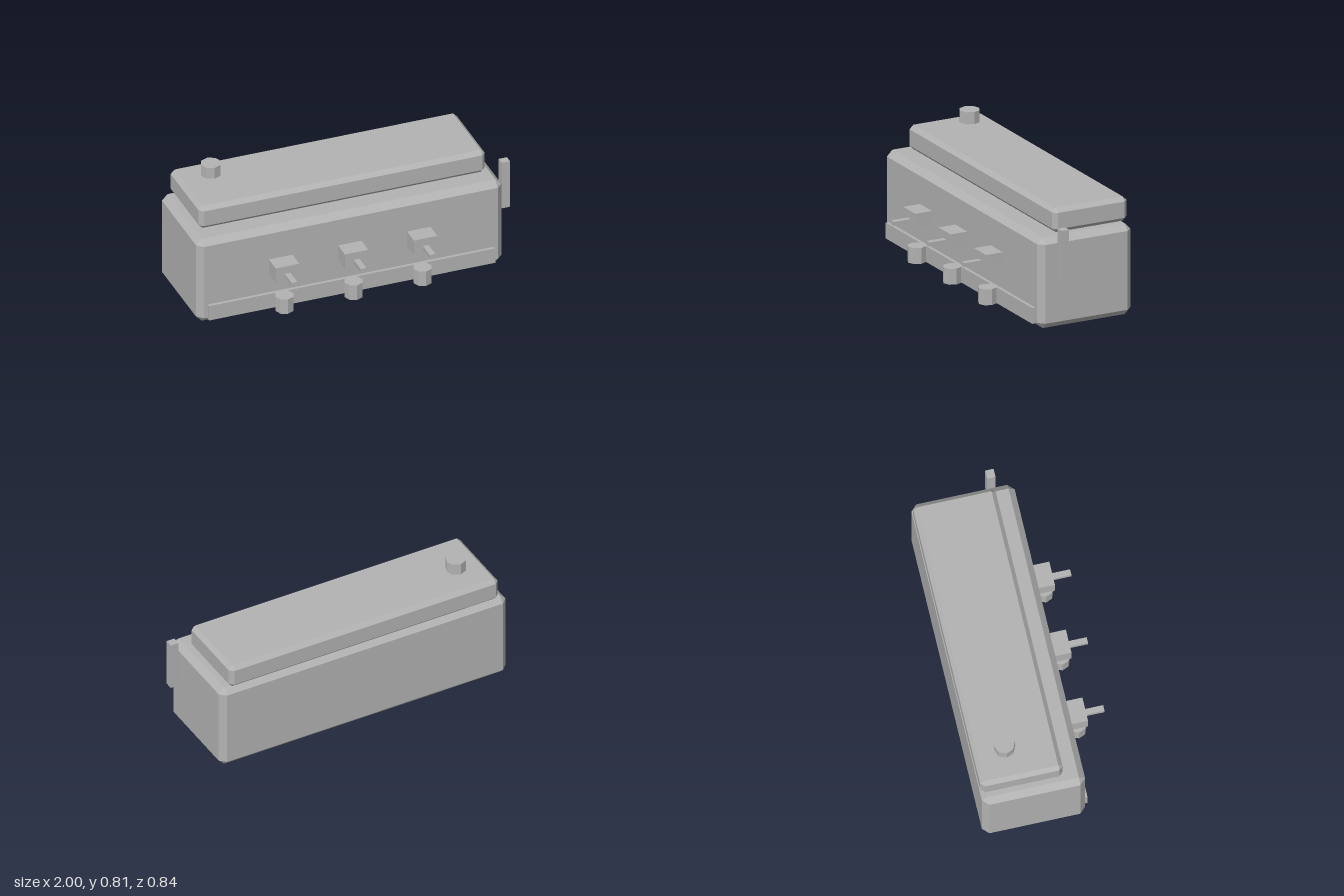
import * as THREE from 'three';
import { ConvexGeometry } from 'three/addons/geometries/ConvexGeometry.js';

const grey = new THREE.MeshStandardMaterial({ color: 0xb3b3b3 });
grey.name = 'grey';

function add(parent, name, geometry, x, y, z) {
  const mesh = new THREE.Mesh(geometry, grey);
  mesh.name = name;
  mesh.position.set(x, y, z);
  parent.add(mesh);
  return mesh;
}

// Box given by its limits
function addBox(parent, name, [x0, x1], [y0, y1], [z0, z1]) {
  return add(parent, name, new THREE.BoxGeometry(x1 - x0, y1 - y0, z1 - z0),
    (x0 + x1) / 2, (y0 + y1) / 2, (z0 + z1) / 2);
}

// Box with all edges cut at 45 degrees and triangular corners
function chamferedBox(w, h, d, c) {
  const points = [];
  for (const sx of [-1, 1]) for (const sy of [-1, 1]) for (const sz of [-1, 1]) {
    const x = w / 2, y = h / 2, z = d / 2;
    points.push(
      new THREE.Vector3(sx * x, sy * (y - c), sz * (z - c)),
      new THREE.Vector3(sx * (x - c), sy * y, sz * (z - c)),
      new THREE.Vector3(sx * (x - c), sy * (y - c), sz * z));
  }
  return new ConvexGeometry(points);
}

// Eight-sided upright cylinder with flat facets
function octagon(radius, height) {
  const geometry = new THREE.CylinderGeometry(radius, radius, height, 8).toNonIndexed();
  geometry.computeVertexNormals();
  return geometry;
}

export function createModel() {
  const model = new THREE.Group();
  model.name = 'espressoMachine';

  // Housing and the set-back upper deck
  add(model, 'body', chamferedBox(1.92, 0.56, 0.62, 0.037), -0.04, 0.28, -0.11);
  add(model, 'topDeck', chamferedBox(1.8, 0.15, 0.495, 0.025), -0.04, 0.635, -0.1725);

  // Knob hovering over the deck, drip tray and steam wand
  add(model, 'topKnob', octagon(0.062, 0.074), -0.75, 0.772, -0.235);
  addBox(model, 'dripTray', [-0.94, 0.86], [0.028, 0.126], [0.15, 0.22]);
  addBox(model, 'steamWand', [0.948, 1], [0.313, 0.623], [0.05, 0.1]);

  // Three brewing stations: head, handle and cup
  for (let i = 0; i < 3; i++) {
    const x = -0.482 + i * 0.434;
    const station = new THREE.Group();
    station.name = 'brewingStation' + (i + 1);
    addBox(station, 'brewHead', [x - 0.074, x + 0.074], [0.252, 0.35], [0.18, 0.311]);
    addBox(station, 'handle', [x - 0.018, x + 0.018], [0.276, 0.301], [0.3, 0.423]);
    add(station, 'cup', octagon(0.056, 0.098), x, 0.077, 0.262);
    model.add(station);
  }
  return model;
}
